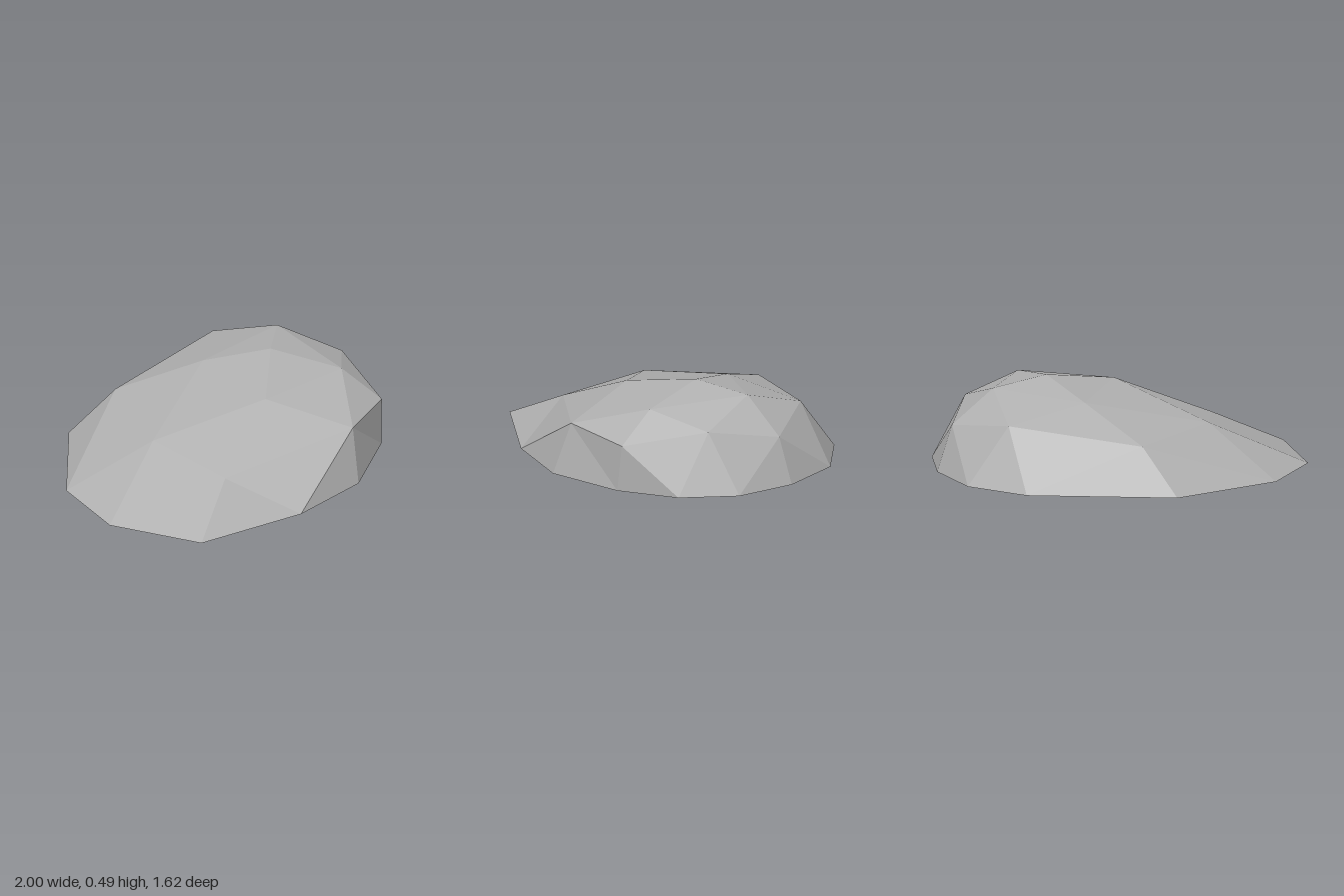
import * as THREE from 'three';

// Rings of the boulder shell as [x, y, z], running clockwise seen from above
const base = [
  [-0.48, -0.68], [0.32, -0.81], [0.67, -0.69], [0.9, -0.41], [1, -0.09], [0.93, 0.23],
  [0.71, 0.51], [0.32, 0.76], [-0.14, 0.81], [-0.76, 0.7], [-1, 0.23], [-0.92, -0.21],
].map(([x, z]) => [x, 0.0115 - 0.0142 * z, z]); // the open base tilts slightly
const shoulder = [
  [-0.26, 0.26, -0.55], [0.47, 0.34, -0.58], [0.83, 0.27, -0.36], [0.845, 0.335, 0.04],
  [0.73, 0.26, 0.49], [0.36, 0.29, 0.67], [-0.41, 0.19, 0.5], [-0.5, 0.26, 0.02],
];
const crown = [[0.12, 0.41, -0.27], [0.63, 0.455, -0.24], [0.61, 0.415, 0.3], [0.08, 0.41, 0.28]];
const peak = [[0.385, 0.487, -0.02]];

// Joins two rings with a band of triangles; each step moves on along the outer (o) or inner (i) ring
function stitch(outer, inner, steps) {
  const out = [];
  let o = 0, i = 0;
  for (const step of steps) {
    const a = outer[o % outer.length], c = inner[i % inner.length];
    if (step === 'o') out.push(outer[++o % outer.length], a, c);
    else out.push(a, c, inner[++i % inner.length]);
  }
  return out;
}

export function createModel() {
  const stone = new THREE.MeshStandardMaterial({ color: 0xb0b0b0, side: THREE.DoubleSide, flatShading: true });
  stone.name = 'grey stone';

  const corners = [
    ...stitch(base, shoulder, 'oioiooioioiooiooioio'),
    ...stitch(shoulder, crown, 'oiooiooiooio'),
    ...stitch(crown, peak, 'oooo'),
  ];
  const geometry = new THREE.BufferGeometry();
  geometry.setAttribute('position', new THREE.Float32BufferAttribute(corners.flat(), 3));
  geometry.computeVertexNormals();

  // Hollow faceted boulder, open underneath
  const boulder = new THREE.Mesh(geometry, stone);
  boulder.name = 'boulder';
  const group = new THREE.Group();
  group.name = 'rock';
  group.add(boulder);
  return group;
}
